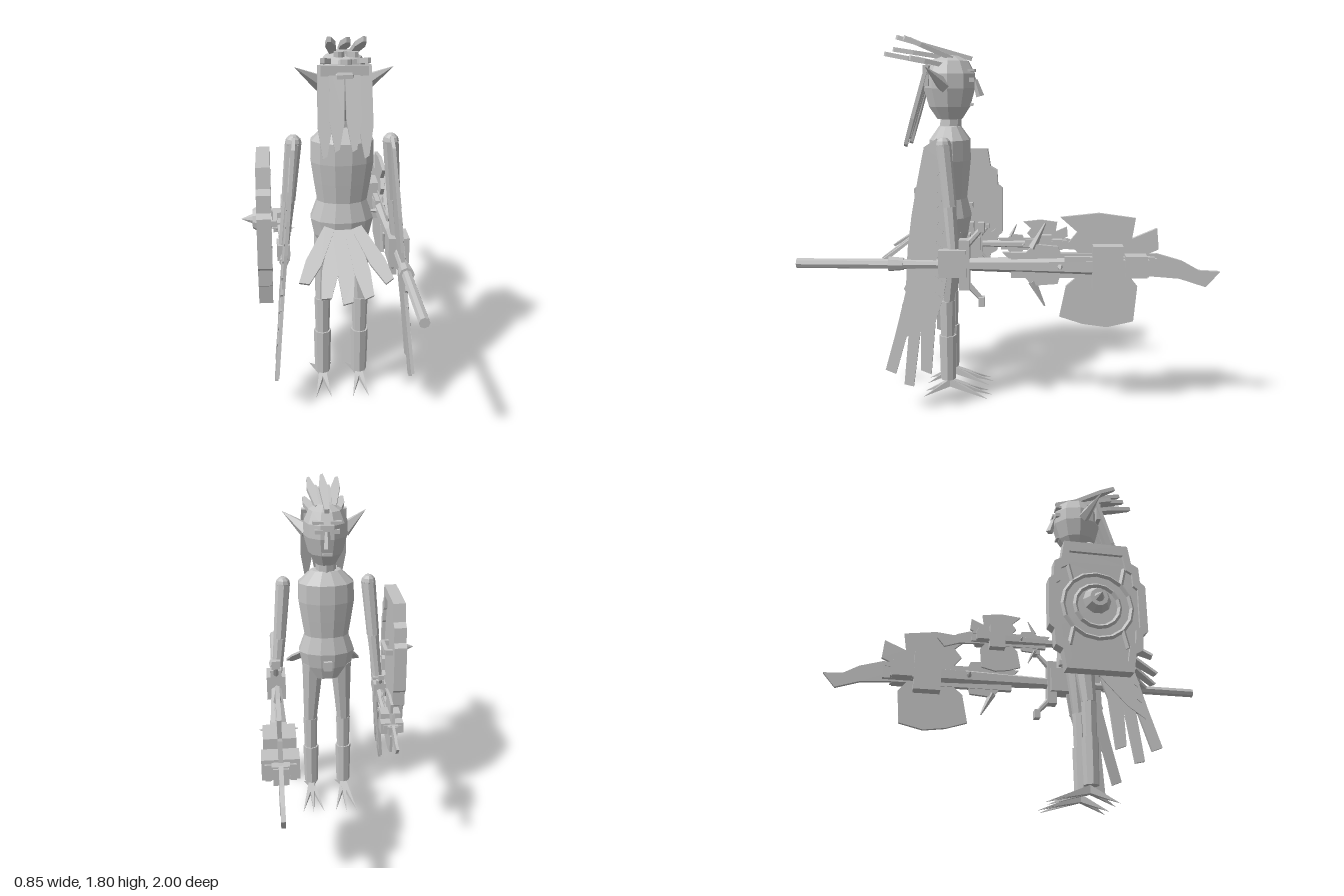
import * as THREE from 'three';

const V = (x, y, z) => new THREE.Vector3(x, y, z);

export function createModel() {
  const grey = new THREE.MeshStandardMaterial({ color: 0xc2c2c2 });
  grey.name = 'plain grey';
  grey.flatShading = true;
  grey.side = THREE.DoubleSide;

  const root = new THREE.Group();
  root.name = 'birdWarrior';
  const body = new THREE.Group();
  body.name = 'body';
  body.position.x = 0.043;
  root.add(body);

  const add = (name, geo, parent = body) => {
    const m = new THREE.Mesh(geo, grey);
    m.name = name;
    parent.add(m);
    return m;
  };
  const box = (name, w, h, d, x, y, z, parent) =>
    add(name, new THREE.BoxGeometry(w, h, d).translate(x, y, z), parent);
  // tapered round or faceted bar from a to b
  const bar = (name, a, b, r0, r1, sides, parent) => {
    const m = add(name, new THREE.CylinderGeometry(r1, r0, a.distanceTo(b), sides), parent);
    m.position.copy(a).lerp(b, 0.5);
    m.quaternion.setFromUnitVectors(V(0, 1, 0), b.clone().sub(a).normalize());
    return m;
  };
  const shapeOf = (pts) => new THREE.Shape(pts.map(([u, v]) => new THREE.Vector2(u, v)));
  // plate in the z-y plane, centred on x
  const plateGeo = (shape, t) =>
    new THREE.ExtrudeGeometry(shape, { depth: t, bevelEnabled: false })
      .translate(0, 0, -t / 2).rotateY(-Math.PI / 2);
  // flat feather from a to b, lying along the side axis
  const feather = (name, a, b, side, w0, w1, w2, t, parent) => {
    const dir = b.clone().sub(a), L = dir.length();
    dir.normalize();
    const n = side.clone().cross(dir).normalize(), s = dir.clone().cross(n);
    const g = new THREE.ExtrudeGeometry(shapeOf([
      [-w0 / 2, 0], [w0 / 2, 0], [w1 / 2, L * 0.65], [w2 / 2, L * 0.97], [-w2 / 2, L], [-w1 / 2, L * 0.65],
    ]), { depth: t, bevelEnabled: false }).translate(0, 0, -t / 2);
    g.applyMatrix4(new THREE.Matrix4().makeBasis(s, dir, n).setPosition(a));
    return add(name, g, parent);
  };
  const lathe = (name, pts, sides, zScale, z) =>
    add(name, new THREE.LatheGeometry(pts.map(([r, y]) => new THREE.Vector2(r, y)), sides)
      .rotateY(Math.PI / sides).scale(1, 1, zScale).translate(0, 0, z));

  // torso, neck and head
  lathe('torso', [[0, 0.75], [0.1, 0.77], [0.135, 0.84], [0.152, 0.92], [0.12, 1.01], [0.135, 1.1],
    [0.15, 1.2], [0.148, 1.3], [0.08, 1.365], [0, 1.37]], 12, 0.68, 0.29);
  bar('neck', V(0, 1.33, 0.29), V(0, 1.44, 0.28), 0.055, 0.05, 8);
  lathe('head', [[0, 1.395], [0.055, 1.4], [0.09, 1.46], [0.113, 1.55], [0.112, 1.62], [0.085, 1.68],
    [0.04, 1.705], [0, 1.71]], 10, 1.15, 0.29);
  box('buckle', 0.045, 0.05, 0.03, 0, 0.86, 0.19);

  // face
  bar('nose', V(0, 1.59, 0.165), V(0, 1.51, 0.14), 0.012, 0.02, 4);
  box('mouth', 0.05, 0.012, 0.02, 0, 1.47, 0.185);

  // crest spikes sweeping back
  [[-0.075, 1.795, 0.5], [-0.035, 1.74, 0.56], [0, 1.8, 0.55], [0.035, 1.74, 0.56], [0.075, 1.795, 0.5],
    [0, 1.72, 0.61], [-0.1, 1.7, 0.47], [0.1, 1.7, 0.47]].forEach(([x, y, z], i) =>
    feather('crestSpike', V(x * 0.55, y > 1.73 ? 1.69 : 1.65, i === 2 ? 0.18 : 0.27),
      V(x, y - 0.005, z), V(1, 0, 0), 0.025, 0.045, 0.016, 0.022));

  // long hair locks down the back
  [-0.085, -0.035, 0.035, 0.085].forEach((x, i) => {
    const outer = i % 3 === 0;
    feather('hairLock', V(x, 1.66, 0.385), V(x * 1.08, outer ? 1.27 : 1.3, 0.5),
      V(1, 0, 0), 0.065, 0.065, 0.02, 0.018);
  });
  box('hairBand', 0.21, 0.1, 0.025, 0, 1.61, 0.395);

  // tail fan
  [-2, -1, 0, 1, 2].forEach((i) =>
    feather('tailFeather', V(i * 0.028, 0.9, 0.36),
      V(i * 0.097, 0.65 + 0.018 * i * i, 0.68 - 0.017 * i * i), V(1, 0, 0), 0.05, 0.075, 0.045, 0.012));

  // paired parts
  for (const s of [-1, 1]) {
    const side = new THREE.Group();
    side.name = s > 0 ? 'leftHandSide' : 'rightHandSide';
    body.add(side);

    box('eye', 0.04, 0.02, 0.03, s * 0.042, 1.59, 0.18, side);
    box('brow', 0.055, 0.014, 0.03, s * 0.045, 1.635, 0.18, side).rotation.z = 0;
    const ear = bar('ear', V(s * 0.095, 1.565, 0.31), V(s * 0.215, 1.65, 0.38), 0.042, 0.001, 5, side);
    ear.scale.z = 0.8;

    // leg with cuff and clawed foot
    const lx = s * 0.092;
    bar('thigh', V(s * 0.075, 0.85, 0.28), V(lx, 0.5, 0.305), 0.06, 0.037, 8, side);
    bar('shin', V(lx, 0.5, 0.305), V(lx, 0.3, 0.305), 0.039, 0.034, 8, side);
    bar('cuff', V(lx, 0.32, 0.305), V(lx, 0.09, 0.305), 0.043, 0.038, 8, side);
    for (const [dx, z] of [[-0.06, 0.1], [0, 0.08], [0.06, 0.1], [-0.04, 0.43], [0.04, 0.43]]) {
      const toe = new THREE.ConeGeometry(1, 1, 4, 1).rotateY(Math.PI / 4);
      const p = toe.attributes.position;
      // ridge at the ankle, running out to a point on the ground
      for (let i = 0; i < p.count; i++) {
        const tip = p.getY(i) > 0, px = p.getX(i), pz = p.getZ(i);
        if (tip) p.setXYZ(i, lx + dx, 0.003, z);
        else p.setXYZ(i, lx + px * 0.022, 0.07 + pz * 0.028, 0.295);
      }
      toe.computeVertexNormals();
      add('toe', toe, side);
    }

    // arm
    const shoulder = V(s * 0.224, 1.29, 0.3), elbow = V(s * 0.25, 1.0, 0.27), hand = V(s * 0.277, 0.74, 0.25);
    add('shoulder', new THREE.SphereGeometry(0.038, 8, 6).translate(shoulder.x, shoulder.y, shoulder.z), side);
    bar('upperArm', shoulder, elbow, 0.038, 0.033, 8, side);
    bar('forearm', elbow, hand, 0.033, 0.026, 8, side);
    box('fist', 0.06, 0.08, 0.07, hand.x, 0.73, 0.25, side);

    // wing hanging from the arm, sloping outward as it falls
    const wx = (y) => s * (0.224 + (1.32 - y) * 0.087);
    const wing = plateGeo(shapeOf([[0.33, 1.32], [0.39, 1.28], [0.42, 1.13], [0.45, 0.96], [0.47, 0.8],
      [0.48, 0.6], [0.53, 0.4], [0.58, 0.22], [0.53, 0.2], [0.465, 0.43], [0.49, 0.15], [0.445, 0.14],
      [0.41, 0.42], [0.41, 0.22], [0.36, 0.2], [0.34, 0.45], [0.3, 0.58], [0.27, 0.75], [0.25, 0.95],
      [0.28, 1.2]]), 0.016);
    const p = wing.attributes.position;
    for (let i = 0; i < p.count; i++) p.setX(i, p.getX(i) + wx(p.getY(i)));
    wing.computeVertexNormals();
    add('wing', wing, side);
    for (let i = 0; i < 9; i++) {
      const y0 = 1.22 - i * 0.08, y1 = y0 - 0.22, z1 = 0.425 + i * 0.012;
      feather('wingFeather', V(wx(y0) + s * 0.006, y0, 0.32), V(wx(y1) + s * 0.006, y1, z1),
        V(0, 0, 1), 0.05, 0.06, 0.02, 0.012, side);
    }
  }

  // axe along z: tapered shaft, guard, head block, blades and point
  const axe = (name, tail) => {
    const g = new THREE.Group();
    g.name = name;
    body.add(g);
    bar('shaft', V(0, 0, tail), V(0, 0, 0.2), 0.024, 0.024, 8, g);
    bar('collar', V(0, 0, 0.56), V(0, 0, 0.49), 0.036, 0.03, 8, g);
    box('gripBlock', 0.1, 0.13, 0.13, 0, 0.01, 0.255, g);
    box('guard', 0.06, 0.24, 0.05, 0, 0, 0.2, g);
    bar('neckShaft', V(0, 0, 0.2), V(0, 0, -0.4), 0.03, 0.05, 6, g);
    box('rail', 0.03, 0.12, 0.4, 0, 0, -0.22, g);
    for (const s of [-1, 1]) {
      bar('guardArm', V(0, s * 0.08, 0.2), V(0, s * 0.17, 0.12), 0.016, 0.012, 6, g);
      box('guardKnob', 0.045, 0.045, 0.03, 0, s * 0.18, 0.12, g);
      bar('sideSpike', V(0, 0, -0.25), V(s * 0.095, 0, -0.25), 0.022, 0.001, 6, g);
      box('sidePlate', 0.03, 0.08, 0.2, s * 0.055, 0, -0.56, g);
      bar('hook', V(0, s * 0.08, -0.12), V(0, s * 0.2, -0.18), 0.02, 0.004, 4, g);
      box('headRail', 0.03, 0.025, 0.42, s * 0.025, 0.035, -0.48, g);
    }
    box('headBlock', 0.15, 0.21, 0.14, 0, 0, -0.47, g);
    box('headBlockFront', 0.17, 0.1, 0.1, 0, 0.01, -0.6, g);
    box('socket', 0.07, 0.08, 0.16, 0, 0, -0.62, g);
    const blade = (label, pts) => add(label, plateGeo(shapeOf(pts), 0.02), g);
    blade('upperBlade', [[-0.36, 0.03], [-0.29, 0.11], [-0.33, 0.16], [-0.25, 0.23], [-0.43, 0.25], [-0.6, 0.227],
      [-0.585, 0.13], [-0.7, 0.18], [-0.71, 0.08], [-0.6, 0.03]]);
    blade('lowerBlade', [[-0.36, -0.03], [-0.28, -0.1], [-0.25, -0.25], [-0.36, -0.285], [-0.475, -0.3],
      [-0.6, -0.27], [-0.615, -0.1], [-0.56, -0.03]]);
    blade('backFin', [[-0.02, 0.02], [0.02, 0.06], [-0.09, 0.06], [-0.13, 0.1], [-0.24, 0.09], [-0.27, 0.02],
      [-0.24, -0.09], [-0.12, -0.1]]);
    blade('point', [[-0.55, 0.05], [-0.7, 0.06], [-0.82, 0.025], [-0.9, -0.02], [-1, -0.025], [-0.935, -0.1],
      [-0.81, -0.06], [-0.68, -0.05], [-0.55, -0.05]]);
    return g;
  };
  axe('greatAxe', 1).position.set(0.277, 0.73, 0);
  const small = axe('handAxe', 0.62);
  small.scale.set(0.65, 0.53, 0.52);
  small.position.set(-0.277, 0.715, 0.06);

  // shield with stepped outline, raised rim, rings and spiked boss
  const shield = new THREE.Group();
  shield.name = 'shield';
  shield.position.set(-0.365, 0.885, 0.285);
  body.add(shield);
  const quarter = [[0.16, 0.335], [0.175, 0.24], [0.21, 0.22], [0.215, 0.14], [0.24, 0.12]];
  const outline = (k) => [
    ...quarter.map(([z, y]) => [z * k, y * k]),
    ...quarter.slice().reverse().map(([z, y]) => [z * k, -y * k]),
    ...quarter.map(([z, y]) => [-z * k, -y * k]),
    ...quarter.slice().reverse().map(([z, y]) => [-z * k, y * k]),
  ];
  add('shieldPanel', plateGeo(shapeOf(outline(0.95)), 0.03), shield);
  const rim = shapeOf(outline(1));
  rim.holes.push(new THREE.Path(outline(0.84).map(([u, v]) => new THREE.Vector2(u, v))));
  add('shieldRim', plateGeo(rim, 0.065), shield);
  for (const r of [0.11, 0.17])
    add('shieldRing', new THREE.TorusGeometry(r, 0.012, 4, 16).rotateY(Math.PI / 2).translate(-0.018, 0, 0), shield);
  for (let i = 0; i < 4; i++) {
    const a = Math.PI / 4 + i * Math.PI / 2, c = Math.cos(a), d = Math.sin(a);
    bar('shieldSpoke', V(-0.018, d * 0.17, c * 0.17), V(-0.018, d * 0.3, c * 0.2), 0.012, 0.012, 4, shield);
  }
  bar('boss', V(-0.015, 0.03, 0), V(-0.055, 0.03, 0), 0.07, 0.045, 10, shield);
  bar('bossSpike', V(-0.055, 0.03, 0), V(-0.108, 0.03, 0), 0.025, 0.001, 8, shield);
  box('shieldGrip', 0.02, 0.03, 0.14, 0.05, 0.03, 0, shield);
  for (const s of [-1, 1]) box('gripMount', 0.05, 0.03, 0.02, 0.03, 0.03, s * 0.07, shield);

  return root;
}
